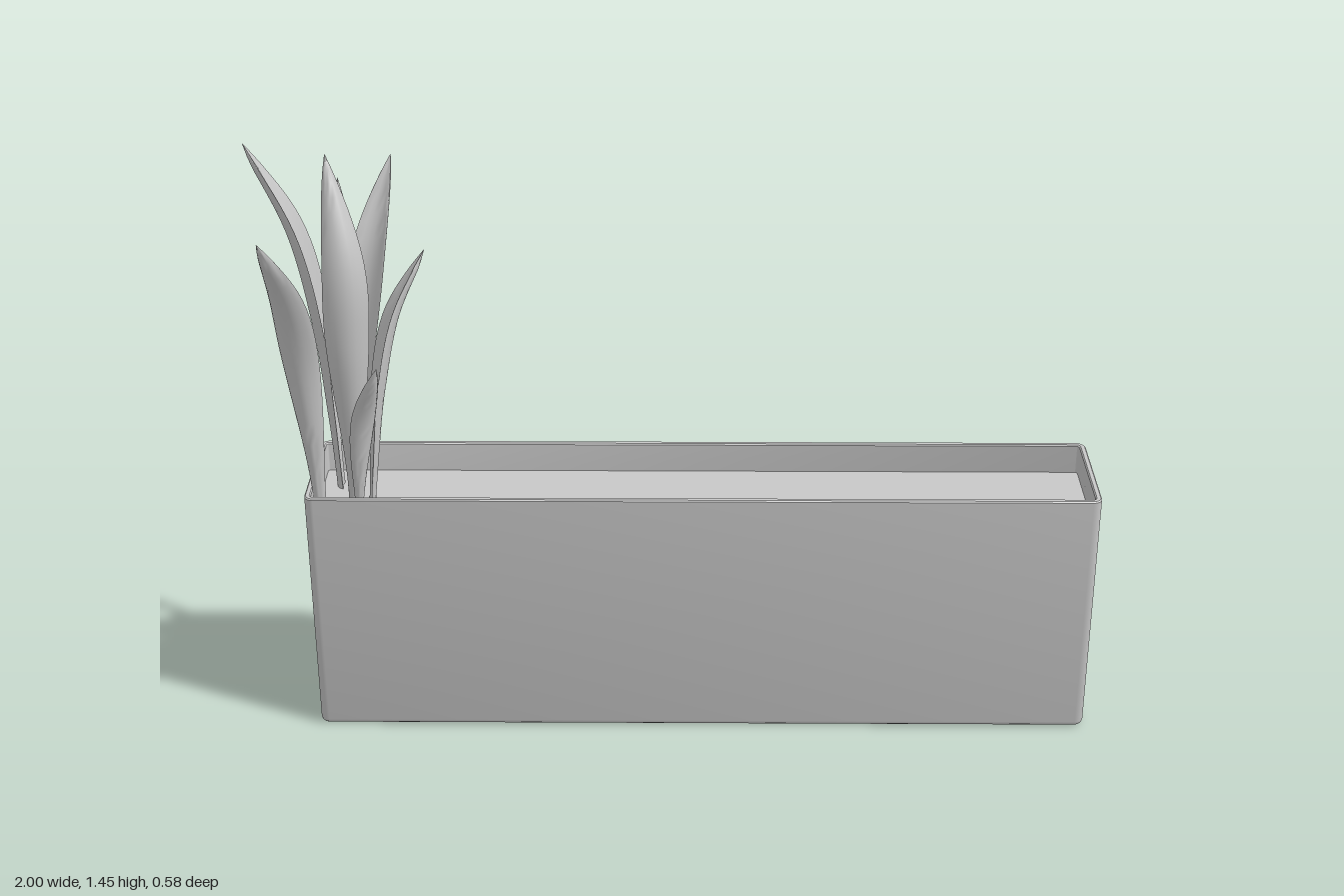
import * as THREE from 'three';
import { toCreasedNormals } from 'three/addons/utils/BufferGeometryUtils.js';

const SOIL = 0.555;

// Skins a stack of closed rings (anticlockwise about the stacking direction), with optional end caps
function loft(rings, capStart, capEnd, crease) {
  const n = rings[0].length;
  const pos = rings.flat().flatMap((p) => [p.x, p.y, p.z]);
  const index = [];
  for (let i = 0; i < rings.length - 1; i++) {
    for (let j = 0; j < n; j++) {
      const a = i * n + j, b = i * n + (j + 1) % n;
      index.push(a, b, b + n, a, b + n, a + n);
    }
  }
  const cap = (row, flip) => {
    const c = new THREE.Vector3();
    rings[row].forEach((p) => c.addScaledVector(p, 1 / n));
    const k = pos.length / 3;
    pos.push(c.x, c.y, c.z);
    for (let j = 0; j < n; j++) {
      const a = row * n + j, b = row * n + (j + 1) % n;
      if (flip) index.push(k, b, a);
      else index.push(k, a, b);
    }
  };
  if (capStart) cap(0, true);
  if (capEnd) cap(rings.length - 1, false);
  const g = new THREE.BufferGeometry();
  g.setAttribute('position', new THREE.Float32BufferAttribute(pos, 3));
  g.setIndex(index);
  return toCreasedNormals(g, crease);
}

// Rounded rectangle outline of the planter, drawn in by an inset at height y
function planterRing(inset, y) {
  const hx = 0.942, hz = 0.155, r = 0.022, cx = 0.053, cz = -0.005;
  const ring = [];
  for (let q = 0; q < 4; q++) {
    const sx = q === 0 || q === 3 ? 1 : -1, sz = q < 2 ? -1 : 1;
    for (let k = 0; k <= 5; k++) {
      const a = (q + k / 5) * Math.PI / 2;
      ring.push(new THREE.Vector3(
        cx + sx * (hx - r) + Math.cos(a) * (r - inset), y,
        cz + sz * (hz - r) - Math.sin(a) * (r - inset)));
    }
  }
  return ring;
}

// Cupped, pointed leaf along a path; its convex side faces the given direction
function leafGeometry(path, width, facing) {
  const curve = new THREE.CatmullRomCurve3(path.map((p) => new THREE.Vector3(...p)));
  const face = new THREE.Vector3(facing[0], 0, facing[1]).normalize();
  const rows = 28, sides = 20, rings = [];
  for (let i = 0; i <= rows; i++) {
    const t = i / rows;
    const p = curve.getPointAt(t), tangent = curve.getTangentAt(t);
    const side = tangent.clone().cross(face).normalize();
    const normal = side.clone().cross(tangent);
    // narrow stalk, widest past the middle, pointed tip
    const swell = t < 0.6
      ? 0.3 + 0.7 * THREE.MathUtils.smoothstep(t, 0, 0.6)
      : Math.pow(Math.cos((t - 0.6) / 0.4 * Math.PI / 2), 0.85);
    const w = width * Math.max(swell, 0.015);
    const thick = Math.min(0.013, w * 0.4);
    const ring = [];
    for (let j = 0; j < sides; j++) {
      const a = j / sides * Math.PI * 2, u = Math.sin(a);
      ring.push(p.clone()
        .addScaledVector(side, u * w / 2)
        .addScaledVector(normal, Math.cos(a) * thick / 2 + w * 0.25 * (0.4 - u * u)));
    }
    rings.push(ring);
  }
  return loft(rings, true, true, 0.9);
}

export function createModel() {
  const model = new THREE.Group();
  const grey = new THREE.MeshStandardMaterial({ color: 0xc8c8c8 });
  grey.name = 'plain grey';
  const add = (name, geometry, parent = model) => {
    const mesh = new THREE.Mesh(geometry, grey);
    mesh.name = name;
    parent.add(mesh);
  };

  // Planter: softened base and rim, open inside down to the soil
  const profile = [
    [0.014, 0], [0.007, 0.002], [0.002, 0.007], [0, 0.014],
    [0, 0.627], [0.003, 0.63], [0.012, 0.63], [0.015, 0.627], [0.015, SOIL - 0.01],
  ];
  add('planter', loft(profile.map(([inset, y]) => planterRing(inset, y)), true, false, 0.6));
  add('soil', loft([planterRing(0.0145, SOIL)], false, true, 0.6));

  // Leaves: path from soil to tip, greatest width, direction of the convex side
  const leaves = [
    ['backLeaf', 0.1, [0.4, -0.9],
      [[-0.79, SOIL, -0.115], [-0.782, 0.75, -0.13], [-0.765, 0.95, -0.15], [-0.74, 1.13, -0.195], [-0.695, 1.33, -0.29]]],
    ['outerLeaf', 0.115, [-1, 0],
      [[-0.83, SOIL, -0.062], [-0.838, 0.75, -0.06], [-0.855, 1.0, -0.057], [-0.9, 1.23, -0.056], [-1.0, 1.44, -0.055]]],
    ['frontLeaf', 0.1, [-0.3, 0.95],
      [[-0.857, SOIL, 0.1], [-0.864, 0.75, 0.112], [-0.88, 0.98, 0.13], [-0.89, 1.15, 0.185], [-0.92, 1.33, 0.287]]],
    ['smallLeaf', 0.065, [0.6, 0.8],
      [[-0.765, SOIL, 0.1], [-0.752, 0.7, 0.113], [-0.73, 0.84, 0.135], [-0.69, 0.99, 0.195]]],
    ['innerLeaf', 0.092, [0.95, -0.3],
      [[-0.745, SOIL, 0.015], [-0.732, 0.7, 0.007], [-0.715, 0.85, -0.005], [-0.675, 1.03, -0.03], [-0.6, 1.175, -0.07]]],
    ['tallLeaf', 0.107, [0.3, 0.95],
      [[-0.785, SOIL, 0.015], [-0.775, 0.75, 0.055], [-0.765, 1.0, 0.095], [-0.763, 1.2, 0.097], [-0.8, 1.445, 0.03]]],
    ['middleLeaf', 0.107, [0.9, -0.4],
      [[-0.8, SOIL, -0.062], [-0.795, 0.75, -0.06], [-0.782, 1.0, -0.053], [-0.78, 1.18, -0.053], [-0.79, 1.355, -0.065]]],
  ];
  const plant = new THREE.Group();
  plant.name = 'plant';
  model.add(plant);
  leaves.forEach(([name, width, facing, path]) => add(name, leafGeometry(path, width, facing), plant));
  return model;
}
